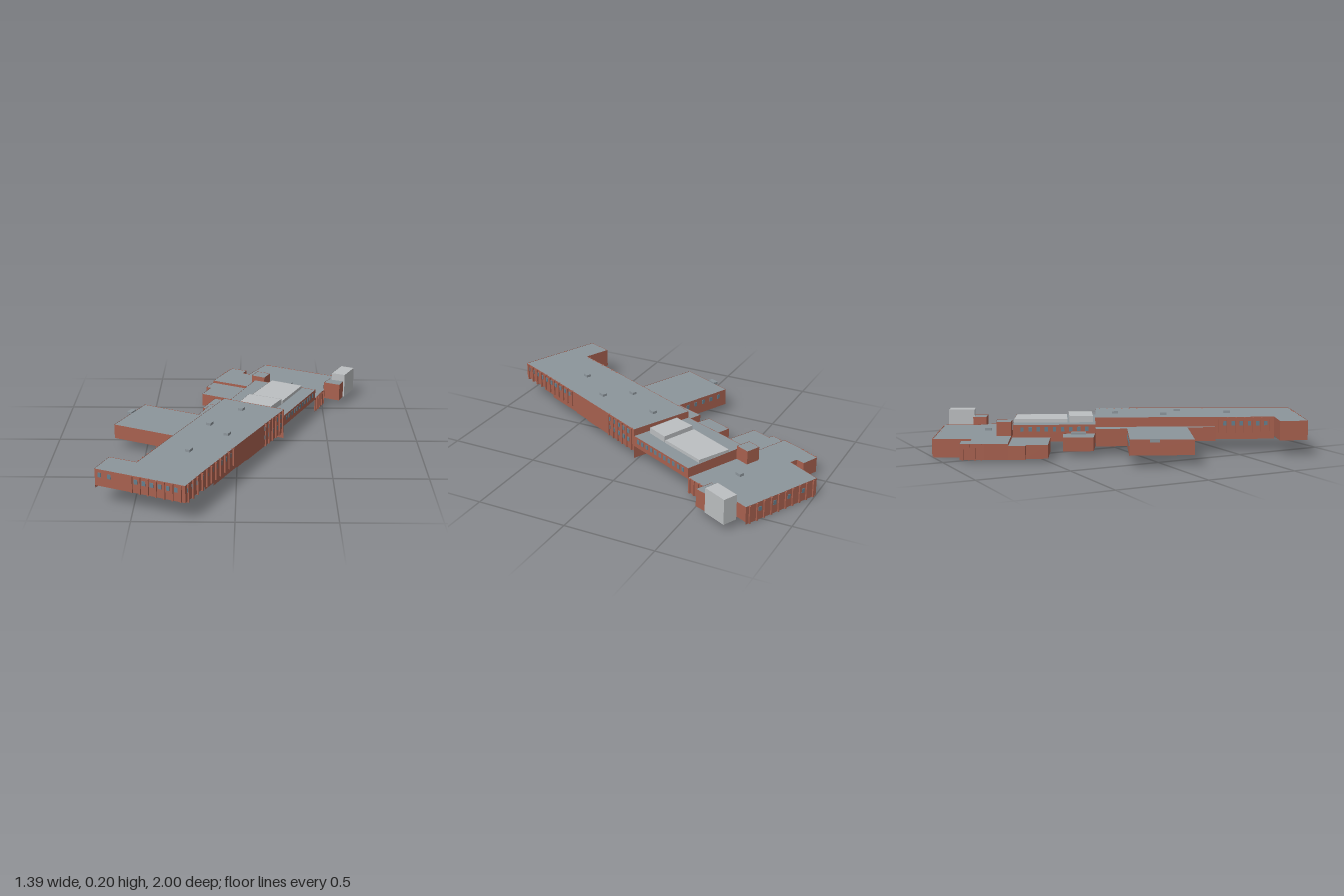
import * as THREE from 'three';
import { mergeGeometries } from 'three/addons/utils/BufferGeometryUtils.js';

const mat = (color) => new THREE.MeshStandardMaterial({ color, side: THREE.DoubleSide, flatShading: true });

export function createModel() {
  const model = new THREE.Group();
  const brick = mat(0xa8614f), roofGrey = mat(0x8c959b), pale = mat(0xbcbfc1), glass = mat(0x64808f);
  const TILT = -1.12; // heading of the long axis of the complex

  const add = (name, geometry, material, parent = model) => {
    const mesh = new THREE.Mesh(geometry, material);
    mesh.name = name;
    parent.add(mesh);
    return mesh;
  };

  // Flat roof over plan corners [x, z]
  const slab = (pts, y) => {
    const shape = new THREE.Shape(pts.map(([x, z]) => new THREE.Vector2(x, -z)));
    return new THREE.ShapeGeometry(shape).rotateX(-Math.PI / 2).translate(0, y, 0);
  };

  // One upright wall from a to b
  const wall = ([ax, az], [bx, bz], bottom, top) =>
    new THREE.PlaneGeometry(Math.hypot(bx - ax, bz - az), top - bottom)
      .rotateY(Math.atan2(bz - az, ax - bx))
      .translate((ax + bx) / 2, (top + bottom) / 2, (az + bz) / 2);

  // Block: corners clockwise in plan, one wall foot height for each edge, open below
  const block = (name, pts, top, feet, wallMat = brick, roofMat = roofGrey) => {
    const group = new THREE.Group();
    group.name = name;
    const walls = pts.map((p, i) =>
      wall(p, pts[(i + 1) % pts.length], Array.isArray(feet) ? feet[i] : feet, top));
    add(name + 'Walls', mergeGeometries(walls), wallMat, group);
    add(name + 'Roof', slab(pts, top - 0.002), roofMat, group);
    model.add(group);
  };

  // Evenly spaced boxes standing out of a wall; outside is to the left of a to b
  const row = (name, [ax, az], [bx, bz], count, y, width, height, depth, material) => {
    const angle = Math.atan2(bz - az, ax - bx);
    const boxes = [];
    for (let i = 0; i < count; i++) {
      const t = (i + 0.5) / count;
      boxes.push(new THREE.BoxGeometry(width, height, depth).rotateY(angle)
        .translate(ax + (bx - ax) * t, y, az + (bz - az) * t));
    }
    add(name, mergeGeometries(boxes), material);
  };
  const windows = (a, b, count, y, width = 0.018, height = 0.024) =>
    row('windows', a, b, count, y, width, height, 0.006, glass);
  const fins = (a, b, count, bottom, top) =>
    row('wallFins', a, b, count, (bottom + top) / 2, 0.008, top - bottom, 0.016, brick);

  // South hall, its foot stepping up with the slope
  block('southHall', [
    [-0.08, -0.16], [0.255, 0.005], [0.05, 0.415], [0, 0.515], [-0.11, 0.74], [-0.15, 0.82],
    [-0.235, 1], [-0.69, 0.806], [-0.635, 0.665], [-0.49, 0.727], [-0.355, 0.43],
  ], 0.19, [0.15, 0.06, 0.065, 0.07, 0.085, 0.1, 0.1, 0.085, 0.085, 0.068, 0.135]);
  windows([0.245, 0.03], [0.14, 0.235], 5, 0.162);
  windows([0.245, 0.03], [0.14, 0.235], 5, 0.112);
  fins([0.255, 0.005], [0.14, 0.235], 6, 0.06, 0.188);
  windows([-0.02, 0.555], [-0.235, 1], 10, 0.16);
  fins([-0.008, 0.53], [-0.235, 1], 11, 0.095, 0.188);
  windows([-0.26, 0.989], [-0.5, 0.887], 6, 0.16);
  fins([-0.235, 1], [-0.52, 0.878], 7, 0.1, 0.188);
  windows([-0.59, 0.849], [-0.69, 0.806], 2, 0.16);
  windows([-0.48, 0.706], [-0.37, 0.46], 6, 0.155);
  fins([-0.49, 0.727], [-0.355, 0.43], 7, 0.07, 0.188);

  // West wing with the strip that joins it to the south hall
  block('westWing', [
    [-0.16, -0.195], [-0.08, -0.16], [-0.355, 0.43], [-0.39, 0.415], [-0.33, 0.275],
    [-0.675, 0.117], [-0.535, -0.185], [-0.22, -0.037],
  ], 0.14, [0.06, 0.13, 0.07, 0.065, 0.06, 0.058, 0.045, 0.045]);
  windows([-0.51, -0.173], [-0.25, -0.051], 5, 0.11);

  // Middle hall
  block('middleHall', [[0.095, -0.57], [0.45, -0.41], [0.255, 0.005], [-0.08, -0.16]],
    0.152, [0.09, 0.09, 0.017, 0.06]);
  windows([0.44, -0.39], [0.262, -0.012], 11, 0.128);
  windows([-0.07, -0.182], [0.085, -0.545], 9, 0.128);

  // North wing
  block('northWing', [
    [0.16, -1], [0.59, -0.79], [0.51, -0.62], [0.51, -0.55], [0.45, -0.41], [-0.16, -0.7],
    [-0.11, -0.81], [-0.05, -0.925], [0.04, -0.885], [0.02, -0.84], [0.06, -0.82],
  ], 0.1, [0, 0.015, 0.015, 0.015, 0.085, 0.015, 0.015, 0.015, 0.01, 0.01, 0]);
  fins([0.16, -1], [0.59, -0.79], 10, 0, 0.098);
  windows([0.2, -0.98], [0.55, -0.81], 4, 0.06);
  fins([0.51, -0.56], [0.45, -0.41], 5, 0.015, 0.098);
  fins([-0.11, -0.81], [-0.05, -0.925], 4, 0.015, 0.098);

  // Lower annexes on the west side
  block('northAnnex', [[-0.16, -0.7], [0.095, -0.575], [0, -0.39], [-0.22, -0.5], [-0.175, -0.605], [-0.2, -0.62]],
    0.088, [0.08, 0.03, 0.015, 0.015, 0.015, 0.015]);
  block('middleAnnex', [[-0.14, -0.38], [-0.03, -0.33], [-0.02, -0.29], [-0.08, -0.16], [-0.205, -0.23]],
    0.105, 0.03);

  // Brick stair head, and side porch with its pale tower
  block('stairHead', [[0.11, -0.66], [0.185, -0.625], [0.15, -0.55], [0.075, -0.59]], 0.175, 0.09);
  block('sidePorch', [[0.55, -0.635], [0.63, -0.6], [0.6, -0.525], [0.51, -0.57]], 0.14, 0.04);
  block('tower', [[0.625, -0.755], [0.7, -0.72], [0.635, -0.59], [0.56, -0.622]], 0.18, 0.04, pale, pale);

  // Raised pale roofs on the middle hall
  block('largeRaisedRoof', [[0.195, -0.525], [0.37, -0.435], [0.25, -0.18], [0.065, -0.26]], 0.168, 0.15, pale, pale);
  block('smallRaisedRoof', [[0.06, -0.25], [0.245, -0.172], [0.185, -0.055], [0.01, -0.13]], 0.184, 0.15, pale, pale);

  // Rooftop vents: x, z, base, length
  [
    [0.02, 0.01, 0.186, 0.035], [-0.147, 0.225, 0.186, 0.035], [-0.05, 0.365, 0.186, 0.035],
    [-0.24, 0.58, 0.186, 0.035], [0.305, -0.635, 0.097, 0.035], [-0.07, -0.255, 0.1, 0.08],
    [-0.6, -0.075, 0.13, 0.05],
  ].forEach(([x, z, base, length]) => {
    const vent = add('roofVent', new THREE.BoxGeometry(length, 0.016, 0.027), roofGrey);
    vent.position.set(x, base + 0.008, z);
    vent.rotation.y = -TILT;
  });

  return model;
}
